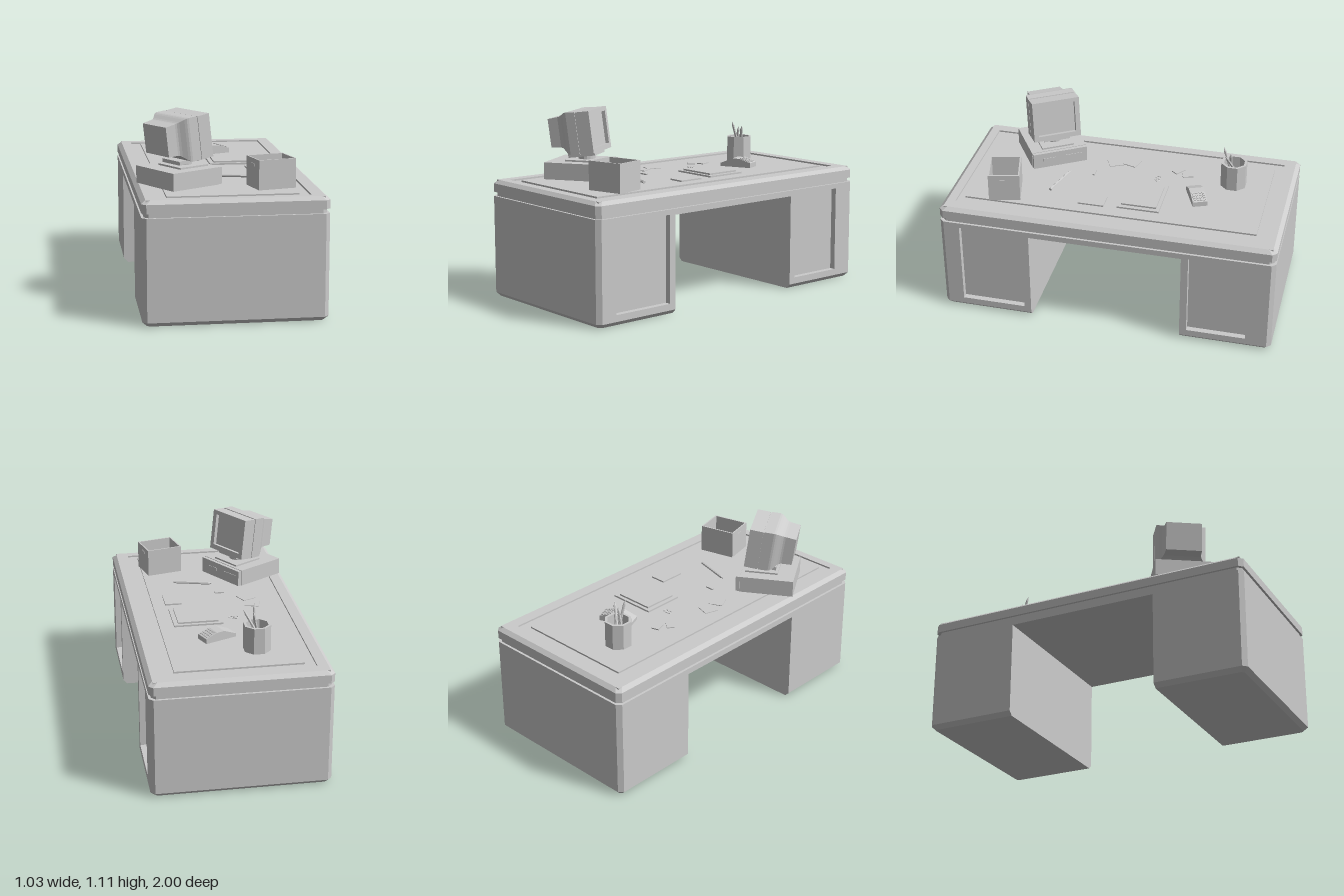
import * as THREE from 'three';

const mat = new THREE.MeshStandardMaterial({ color: 0xcccccc, flatShading: true, side: THREE.DoubleSide });

function add(parent, name, geo, x = 0, y = 0, z = 0) {
  const m = new THREE.Mesh(geo, mat);
  m.name = name;
  m.position.set(x, y, z);
  parent.add(m);
  return m;
}

// box standing on height y
const box = (parent, name, w, h, d, x, y, z, rot = 0) => {
  const m = add(parent, name, new THREE.BoxGeometry(w, h, d), x, y + h / 2, z);
  m.rotation.y = rot;
  return m;
};

function group(parent, name, x, y, z, rot = 0) {
  const g = new THREE.Group();
  g.name = name;
  g.position.set(x, y, z);
  g.rotation.y = rot;
  parent.add(g);
  return g;
}

// rectangle with cut corners; c0 cuts the z0 corners, c1 the z1 corners
function ring(x0, x1, z0, z1, c0 = 0, c1 = c0) {
  const far = c1 ? [[x0, z1 - c1], [x0 + c1, z1], [x1 - c1, z1], [x1, z1 - c1]] : [[x0, z1], [x1, z1]];
  const near = c0 ? [[x1, z0 + c0], [x1 - c0, z0], [x0 + c0, z0], [x0, z0 + c0]] : [[x1, z0], [x0, z0]];
  return [...far, ...near];
}

// skin stacked rings [height, points]; skip(segment, side) leaves a face open
function loft(rings, { skip = () => false, top = true, bottom = true } = {}) {
  const pos = [];
  const put = (k, i) => pos.push(rings[k][1][i][0], rings[k][0], rings[k][1][i][1]);
  const n = rings[0][1].length, last = rings.length - 1;
  for (let k = 0; k < last; k++) for (let i = 0; i < n; i++) {
    if (skip(k, i)) continue;
    const j = (i + 1) % n;
    put(k, i); put(k, j); put(k + 1, j);
    put(k, i); put(k + 1, j); put(k + 1, i);
  }
  for (let i = 1; i < n - 1; i++) {
    if (top) { put(last, 0); put(last, i); put(last, i + 1); }
    if (bottom) { put(0, 0); put(0, i + 1); put(0, i); }
  }
  const g = new THREE.BufferGeometry();
  g.setAttribute('position', new THREE.Float32BufferAttribute(pos, 3));
  g.computeVertexNormals();
  return g;
}

const rect = (T, x0, x1, y0, y1) =>
  new T([[x0, y0], [x1, y0], [x1, y1], [x0, y1]].map(p => new THREE.Vector2(...p)));

// rectangular frame extruded along +z: outer and hole are [x0, x1, y0, y1]
function frame(outer, hole, depth) {
  const s = rect(THREE.Shape, ...outer);
  s.holes.push(rect(THREE.Path, ...hole));
  return new THREE.ExtrudeGeometry(s, { depth, bevelEnabled: false });
}

// six-sided pencil between two points, with a cone tip at the end
function pencil(parent, a, b, r) {
  const from = new THREE.Vector3(...a), dir = new THREE.Vector3(...b).sub(from), len = dir.length();
  const profile = [[0, 0], [r, 0], [r, len * 0.88], [0, len]].map(p => new THREE.Vector2(...p));
  const m = add(parent, 'pencil', new THREE.LatheGeometry(profile, 6), ...a);
  m.quaternion.setFromUnitVectors(new THREE.Vector3(0, 1, 0), dir.normalize());
}

function buildDesk(root) {
  const desk = group(root, 'desk', 0, 0, 0);
  for (const s of [1, -1]) {
    // pedestal with a sunken panel on its +x face
    const ped = (e, c) => {
      const p = ring(-0.515 + e, 0.515 - e, 0.455, 1 - e, 0, c);
      return s > 0 ? p : p.map(([x, z]) => [x, -z]).reverse();
    };
    const panelSide = s > 0 ? 3 : 1;
    add(desk, 'pedestal', loft([[0, ped(0.025, 0.015)], [0.025, ped(0, 0.025)], [0.605, ped(0, 0.025)]],
      { skip: (k, i) => k === 1 && i === panelSide }));
    const span = (a, b) => (s > 0 ? [-b, -a] : [a, b]);
    const outerZ = s > 0 ? 0.88 : 0.848;
    const f = frame([...span(0.455, 0.975), 0.025, 0.605], [...span(0.497, outerZ), 0.064, 0.575], 0.035);
    add(desk, 'panelFrame', f.rotateY(Math.PI / 2), 0.48, 0, 0);
    box(desk, 'sunkenPanel', 0.01, 0.54, 0.42, 0.475, 0.05, s * 0.69);
  }
  box(desk, 'apron', 1.03, 0.035, 0.912, 0, 0.57, 0);
  const full = e => ring(-0.515 + e, 0.515 - e, -1 + e, 1 - e, 0.025);
  add(desk, 'shadowGroove', loft([[0.6, full(0.014)], [0.635, full(0.014)]]));
  // chamfered top with a grooved border around the writing surface
  add(desk, 'deskTop', loft([[0.63, full(0)], [0.68, full(0)], [0.7, full(0.024)]], { top: false }));
  const border = frame([-0.491, 0.491, -0.976, 0.976], [-0.43, 0.42, -0.925, 0.91], 0.01);
  add(desk, 'topBorder', border.rotateX(-Math.PI / 2), 0, 0.69, 0);
  box(desk, 'grooveFloor', 0.9, 0.01, 1.88, 0, 0.68, 0);
  box(desk, 'writingSurface', 0.73, 0.012, 1.745, -0.005, 0.688, 0.0125);
}

function buildComputer(root) {
  const pc = group(root, 'computer', -0.262, 0.7, 0.522, 0.558);
  box(pc, 'caseBody', 0.325, 0.1, 0.344, -0.012, 0, 0);
  box(pc, 'caseFront', 0.022, 0.096, 0.338, 0.163, 0.002, 0);
  box(pc, 'driveSlot', 0.006, 0.018, 0.08, 0.174, 0.045, 0.07);
  box(pc, 'driveBay', 0.006, 0.045, 0.11, 0.174, 0.02, -0.09);
  box(pc, 'standPlate', 0.2, 0.01, 0.2, 0.03, 0.1, 0);
  add(pc, 'standNeck', new THREE.CylinderGeometry(0.05, 0.05, 0.04, 16), 0.03, 0.125, 0);

  // monitor leaning back, screen towards its local +x
  const mon = group(pc, 'monitor', 0, 0.27, 0);
  mon.rotation.z = 0.13;
  box(mon, 'standCradle', 0.17, 0.022, 0.16, 0.01, -0.143, 0);
  const sections = [[-0.163, 0.105, -0.07, 0.1]];
  for (let i = 0; i <= 6; i++) {
    const t = i / 6, k = t * t * (3 - 2 * t);
    sections.push([-0.1 + 0.07 * t, 0.107 + 0.04 * k, -0.075 - 0.045 * k, 0.105 + 0.025 * k]);
  }
  sections.push([0.027, 0.147, -0.125, 0.127]);
  const shell = loft(sections.map(([u, w, y0, y1]) => [u, ring(-y1, -y0, -w, w)]));
  add(mon, 'monitorShell', shell.rotateZ(-Math.PI / 2));
  box(mon, 'seam', 0.008, 0.24, 0.286, 0.03, -0.12, 0);
  const bezel = frame([-0.147, 0.147, -0.125, 0.125], [-0.118, 0.118, -0.095, 0.1], 0.082);
  add(mon, 'bezel', bezel.rotateY(Math.PI / 2), 0.033, 0, 0);
  box(mon, 'screen', 0.01, 0.21, 0.25, 0.088, -0.102, 0);
}

function buildFileBox(root) {
  const g = group(root, 'fileBox', 0.24, 0.7, 0.67, 0.239);
  const walls = frame([-0.1115, 0.1115, -0.0925, 0.0925], [-0.103, 0.103, -0.084, 0.084], 0.168);
  add(g, 'boxWalls', walls.rotateX(-Math.PI / 2));
  box(g, 'boxFloor', 0.21, 0.008, 0.17, 0, 0.001, 0);
  for (const s of [1, -1]) box(g, 'boxTag', 0.004, 0.016, 0.045, s * 0.112, 0.124, 0);
}

function buildPencilCup(root) {
  const g = group(root, 'pencilCup', -0.143, 0.7, -0.64, Math.PI / 8);
  const profile = [[0, 0], [0.08, 0], [0.08, 0.155], [0.065, 0.155], [0.065, 0.02], [0, 0.02]];
  add(g, 'cup', new THREE.LatheGeometry(profile.map(p => new THREE.Vector2(...p)), 8));
  pencil(root, [-0.18, 0.73, -0.675], [-0.07, 0.93, -0.595], 0.008);
  pencil(root, [-0.13, 0.73, -0.645], [-0.138, 0.955, -0.573], 0.008);
  pencil(root, [-0.16, 0.73, -0.62], [-0.125, 0.92, -0.62], 0.008);
}

function buildAddingMachine(root) {
  const g = group(root, 'addingMachine', 0.053, 0.7, -0.452, 0.4);
  const outline = [[-0.1, 0], [0.1, 0], [0.1, 0.03], [0.03, 0.052], [-0.02, 0.054], [-0.1, 0.02]];
  const shape = new THREE.Shape(outline.map(p => new THREE.Vector2(...p)));
  add(g, 'machineBody', new THREE.ExtrudeGeometry(shape, { depth: 0.088, bevelEnabled: false }), 0, 0, -0.044);
  for (let i = 0; i < 4; i++) for (let j = 0; j < 4; j++) {
    const key = box(g, 'key', 0.012, 0.008, 0.014, 0.034 + i * 0.017, 0.047 - i * 0.0053, -0.03 + j * 0.02);
    key.rotation.z = -0.3;
  }
}

function buildPapers(root) {
  // [name, width, height, depth, x, z, turn]
  const flat = [
    ['folder', 0.291, 0.01, 0.25, 0.13, -0.145, 0],
    ['paperStack', 0.24, 0.02, 0.21, 0.13, -0.145, 0],
    ['notebook', 0.1, 0.009, 0.155, 0.235, 0.137, 0],
    ['noteCard', 0.085, 0.004, 0.085, -0.24, 0.005, -0.3],
    ['noteCard', 0.085, 0.004, 0.085, -0.218, 0.108, 0.45],
    ['smallCard', 0.07, 0.006, 0.045, -0.21, -0.29, -0.65],
    ['smallCard', 0.045, 0.006, 0.065, -0.172, -0.355, 0.3],
    ['eraser', 0.055, 0.008, 0.014, -0.07, 0.203, 0],
  ];
  for (const [name, w, h, d, x, z, r] of flat) box(root, name, w, h, d, x, 0.7, z, r);
  for (const s of [1, -1]) {
    // paper clips
    const clip = add(root, 'paperClip', new THREE.TorusGeometry(0.014, 0.003, 4, 8), -0.09 + s * 0.014, 0.703, -0.187);
    clip.rotation.x = Math.PI / 2;
  }
  pencil(root, [0.185, 0.708, 0.41], [-0.052, 0.708, 0.344], 0.009);
}

export function createModel() {
  const root = new THREE.Group();
  root.name = 'officeDesk';
  [buildDesk, buildComputer, buildFileBox, buildPencilCup, buildAddingMachine, buildPapers].forEach(f => f(root));
  return root;
}
